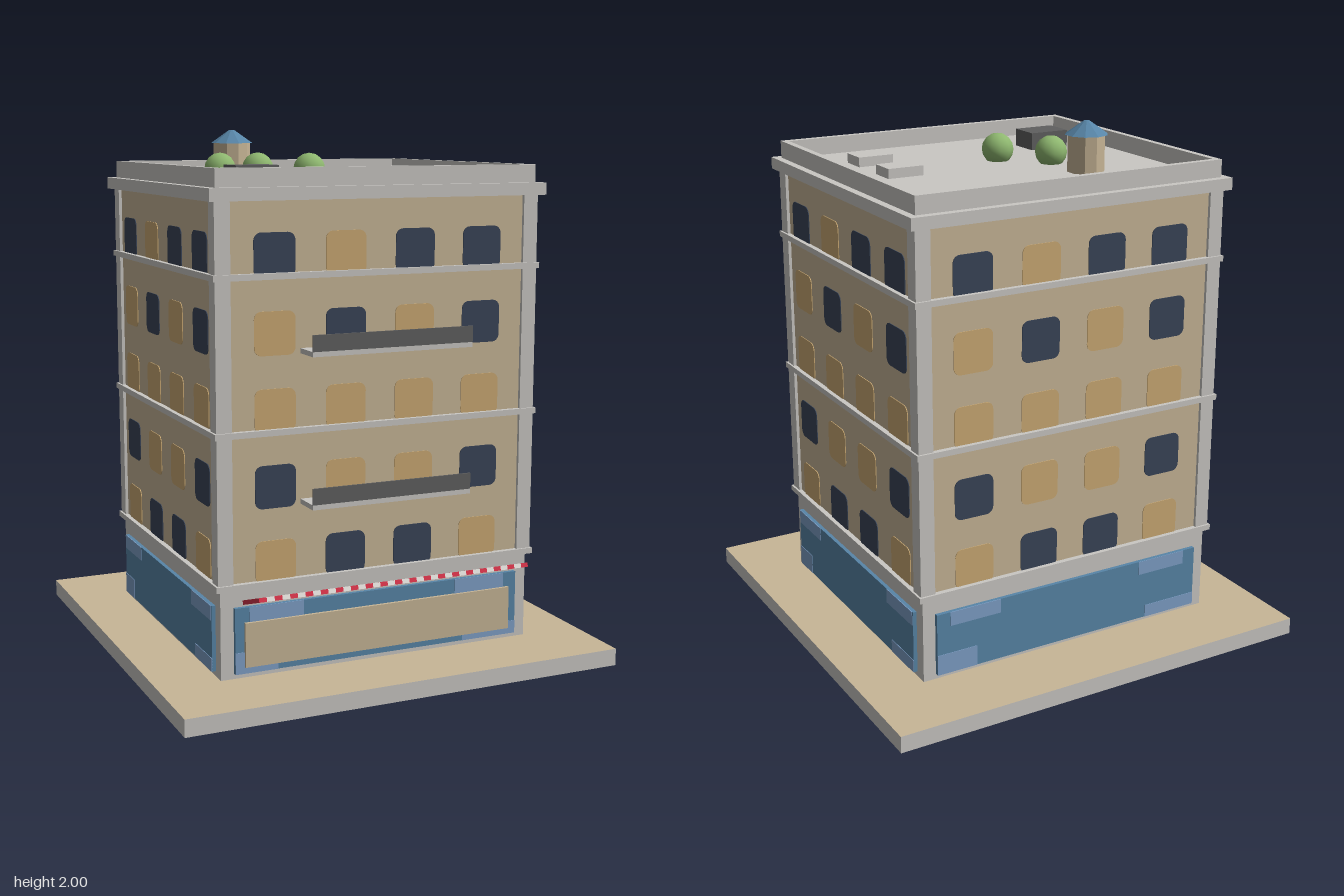
import * as THREE from 'three';

const mat = (name, color) => {
  const m = new THREE.MeshStandardMaterial({ color });
  m.name = name;
  return m;
};

export function createModel() {
  const tan = mat('tan wall', 0xc8b697);
  const stone = mat('pale stone', 0xcac8c4);
  const navy = mat('dark window', 0x3a4558);
  const amber = mat('lit window', 0xcbaa74);
  const blue = mat('shop blue', 0x5886a8);
  const sky = mat('glass glint', 0x7fa0c8);
  const green = mat('leaf green', 0x8fb870);
  const red = mat('awning red', 0xd8344a);
  const white = mat('awning white', 0xe8e4e0);
  const charcoal = mat('charcoal', 0x606060);

  const model = new THREE.Group();
  const add = (parent, name, geometry, material, x = 0, y = 0, z = 0) => {
    const mesh = new THREE.Mesh(geometry, material);
    mesh.name = name;
    mesh.position.set(x, y, z);
    parent.add(mesh);
    return mesh;
  };
  // Box given by its extents on each axis
  const box = (parent, name, material, [x0, x1], [y0, y1], [z0, z1]) =>
    add(parent, name, new THREE.BoxGeometry(x1 - x0, y1 - y0, z1 - z0), material,
      (x0 + x1) / 2, (y0 + y1) / 2, (z0 + z1) / 2);

  const W = 0.625, D = 0.575; // half width and half depth of the walls

  // Base slab with a tan pavement on top
  box(model, 'baseSlab', [stone, stone, tan, stone, stone, stone], [-0.86, 0.86], [0, 0.065], [-0.86, 0.86]);

  // Ground floor and upper walls
  box(model, 'groundFloor', stone, [-W, W], [0.065, 0.4], [-D, D]);
  box(model, 'upperWalls', tan, [-W, W], [0.4, 1.77], [-D, D]);

  // Floor bands and corner pilasters
  for (const y of [0.395, 0.943, 1.493])
    box(model, 'floorBand', stone, [-0.645, 0.645], [y, y + 0.022], [-0.595, 0.595]);
  for (const sx of [-1, 1]) for (const sz of [-1, 1])
    add(model, 'cornerPilaster', new THREE.BoxGeometry(0.058, 1.37, 0.058), stone, sx * 0.608, 1.085, sz * 0.558);

  // Cornice, which also forms the roof deck
  box(model, 'cornice', stone, [-0.66, 0.66], [1.765, 1.81], [-0.608, 0.608]);

  // Parapet ring
  const rect = (Shape, w, d) => new Shape([[-w, -d], [w, -d], [w, d], [-w, d]].map(p => new THREE.Vector2(...p)));
  const ring = rect(THREE.Shape, 0.63, 0.578);
  ring.holes.push(rect(THREE.Path, 0.605, 0.553));
  const parapet = new THREE.ExtrudeGeometry(ring, { depth: 0.067, bevelEnabled: false });
  parapet.rotateX(-Math.PI / 2);
  add(model, 'parapet', parapet, stone, 0, 1.809, 0);

  // Rounded window plate
  const pane = new THREE.Shape();
  const h = 0.078, r = 0.028;
  pane.moveTo(-h + r, -h);
  pane.absarc(h - r, -h + r, r, -Math.PI / 2, 0);
  pane.absarc(h - r, h - r, r, 0, Math.PI / 2);
  pane.absarc(-h + r, h - r, r, Math.PI / 2, Math.PI);
  pane.absarc(-h + r, -h + r, r, Math.PI, Math.PI * 1.5);
  const paneGeo = new THREE.ExtrudeGeometry(pane, { depth: 0.003, bevelEnabled: false, curveSegments: 4 });

  // Each facade: windows (# dark, . lit, bottom row first) and the shop glass
  const rows = ['.##.', '#..#', '....', '.#.#', '#.##'];
  for (let side = 0; side < 4; side++) {
    const facade = new THREE.Group();
    facade.name = ['frontFacade', 'leftFacade', 'backFacade', 'rightFacade'][side];
    facade.rotation.y = side * Math.PI / 2;
    model.add(facade);
    const d = side % 2 ? W : D, w = (side % 2 ? D : W) - 0.05;
    rows.forEach((row, j) => [...row].forEach((c, i) =>
      add(facade, 'window', paneGeo, c === '#' ? navy : amber, (i - 1.5) * 0.2735 - 0.002, 0.483 + j * 0.2735, d)));
    box(facade, 'shopGlass', blue, [-w, w], [0.085, 0.33], [d - 0.01, d + 0.015]);
    const glints = [
      [-0.52, -0.31, 0.275, 0.33], [0.31, 0.52, 0.275, 0.33],
      [-w, -0.41, 0.085, 0.165], [0.345, w, 0.085, 0.135],
    ];
    for (const [x0, x1, y0, y1] of glints)
      box(facade, 'glassGlint', sky, [x0, x1], [y0, y1], [d + 0.014, d + 0.017]);
  }

  // Shop sign board
  box(model, 'signBoard', tan, [-0.54, 0.54], [0.11, 0.275], [D + 0.01, 0.602]);

  // Striped awning, rising outward from the wall
  const awning = new THREE.Group();
  awning.name = 'awning';
  awning.position.set(0, 0.372, 0.655);
  awning.rotation.x = -0.33;
  model.add(awning);
  const stripes = 37, sw = 1.08 / stripes;
  const stripeGeo = new THREE.BoxGeometry(sw, 0.016, 0.166);
  for (let i = 0; i < stripes; i++)
    add(awning, 'awningStripe', stripeGeo, i % 2 ? white : red, -0.54 + (i + 0.5) * sw);

  // Balconies
  for (const y of [0.684, 1.228]) {
    box(model, 'balconySlab', stone, [-0.315, 0.315], [y, y + 0.018], [0.57, 0.685]);
    box(model, 'balconyRail', charcoal, [-0.315, 0.315], [y + 0.018, y + 0.077], [0.679, 0.686]);
  }

  // Water tank
  const tank = new THREE.CylinderGeometry(0.072, 0.072, 0.14, 10).toNonIndexed();
  tank.computeVertexNormals();
  add(model, 'waterTank', tank, tan, -0.26, 1.879, -0.235);
  const cap = new THREE.CylinderGeometry(0.01, 0.082, 0.051, 10).toNonIndexed();
  cap.computeVertexNormals();
  add(model, 'tankRoof', cap, blue, -0.26, 1.9745, -0.235);

  // Roof shrubs
  const shrub = new THREE.SphereGeometry(0.062, 10, 8);
  for (const [x, z] of [[-0.38, -0.045], [-0.23, -0.035], [-0.08, 0.115]])
    add(model, 'roofShrub', shrub, green, x, 1.854, z);

  // Roof hatch and vents
  box(model, 'roofHatch', charcoal, [-0.465, -0.3], [1.809, 1.878], [0.223, 0.348]);
  for (const z of [-0.005, 0.248])
    box(model, 'roofVent', stone, [0.305, 0.448], [1.809, 1.847], [z, z + 0.105]);

  return model;
}
